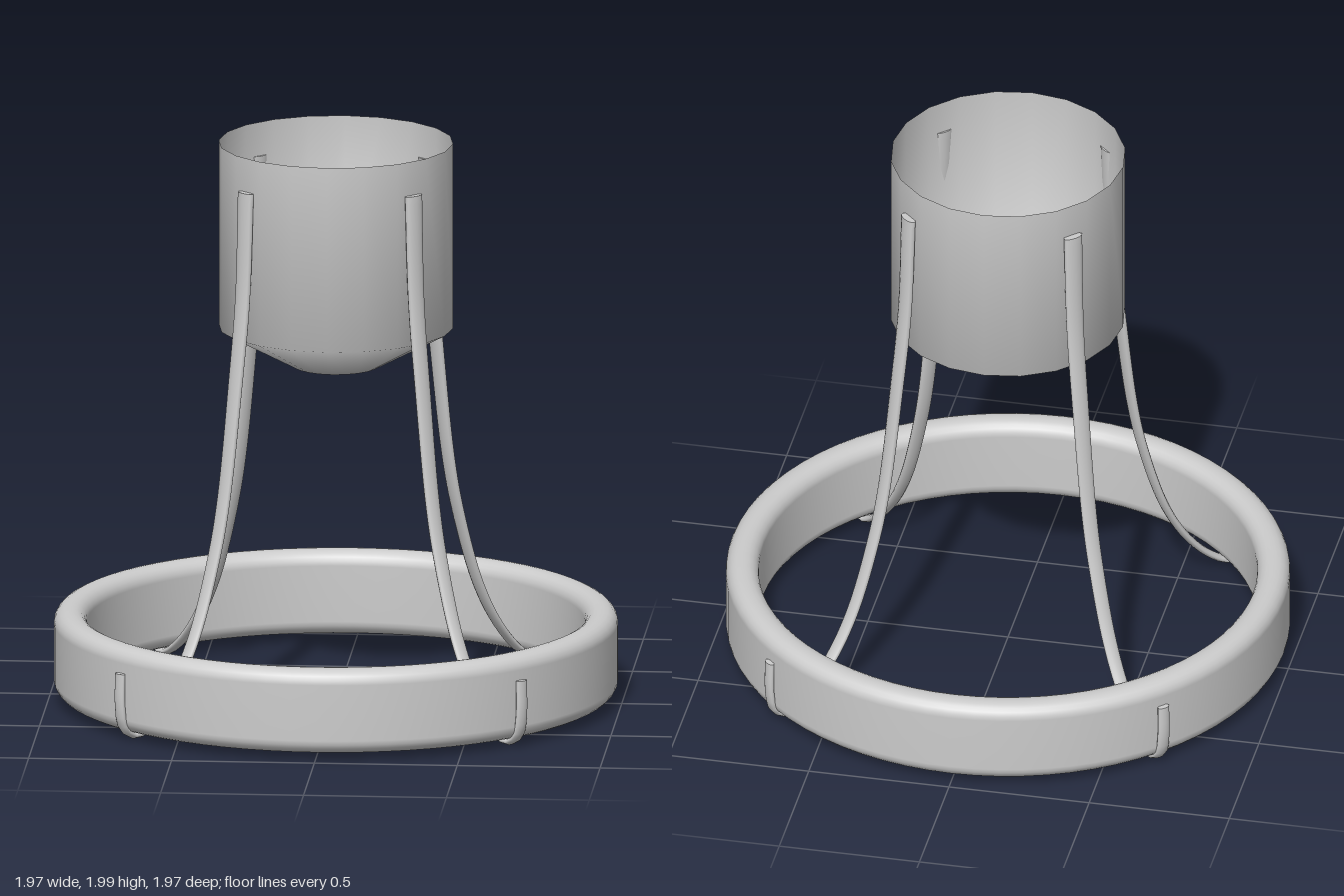
import * as THREE from 'three';
import { mergeVertices } from 'three/addons/utils/BufferGeometryUtils.js';

const V2 = (x, y) => new THREE.Vector2(x, y);

// Oval bar swept along a curve in the XY plane, tapering from start to end
function sweptBar(curve, [w0, t0], [w1, t1], steps) {
  let geo = new THREE.CylinderGeometry(1, 1, 1, 12, steps);
  geo.deleteAttribute('uv');
  geo = mergeVertices(geo);
  const pos = geo.attributes.position;
  for (let i = 0; i < pos.count; i++) {
    const u = THREE.MathUtils.clamp(pos.getY(i) + 0.5, 0, 1);
    const c = curve.getPointAt(u), t = curve.getTangentAt(u);
    const side = pos.getX(i) * THREE.MathUtils.lerp(w0, w1, u) / 2;
    const out = pos.getZ(i) * THREE.MathUtils.lerp(t0, t1, u) / 2;
    pos.setXYZ(i, c.x - t.y * out, c.y + t.x * out, side);
  }
  geo.computeVertexNormals();
  return geo;
}

// Closed rounded-rectangle profile, revolved into a band
function ringGeometry(rIn, rOut, y0, y1, c) {
  const pts = [];
  const corners = [
    [rOut - c, y0 + c, -Math.PI / 2], [rOut - c, y1 - c, 0],
    [rIn + c, y1 - c, Math.PI / 2], [rIn + c, y0 + c, Math.PI],
  ];
  for (const [x, y, a] of corners)
    for (let k = 0; k <= 5; k++) {
      const b = a + (k / 5) * Math.PI / 2;
      pts.push(V2(x + c * Math.cos(b), y + c * Math.sin(b)));
    }
  pts.push(pts[0].clone());
  return new THREE.LatheGeometry(pts, 72);
}

export function createModel() {
  const model = new THREE.Group();
  model.name = 'cupStand';
  const grey = new THREE.MeshStandardMaterial({ color: 0xcccccc });
  const thin = new THREE.MeshStandardMaterial({ color: 0xcccccc, side: THREE.DoubleSide });

  // Open cup with a chamfered bottom
  const cup = new THREE.Mesh(new THREE.LatheGeometry(
    [V2(0, 1.2), V2(0.15, 1.2), V2(0.41, 1.34), V2(0.41, 2)], 20), thin);
  cup.name = 'cup';
  model.add(cup);

  // Base ring
  const ring = new THREE.Mesh(ringGeometry(0.87, 0.985, 0.03, 0.33, 0.05), grey);
  ring.name = 'baseRing';
  model.add(ring);

  // Four curved legs that hook under the ring and up its outside
  const path = new THREE.CatmullRomCurve3([
    [0.415, 1.88], [0.43, 1.5], [0.463, 1.2], [0.516, 0.8], [0.56, 0.6],
    [0.65, 0.33], [0.74, 0.17], [0.84, 0.06], [0.92, 0.015],
    [0.975, 0.045], [0.993, 0.12], [0.993, 0.245],
  ].map(([r, y]) => new THREE.Vector3(r, y, 0)));
  const legGeo = sweptBar(path, [0.075, 0.034], [0.046, 0.024], 72);
  for (let i = 0; i < 4; i++) {
    const leg = new THREE.Mesh(legGeo, grey);
    leg.name = 'leg' + (i + 1);
    leg.rotation.y = Math.PI / 4 + i * Math.PI / 2;
    model.add(leg);
  }
  return model;
}
